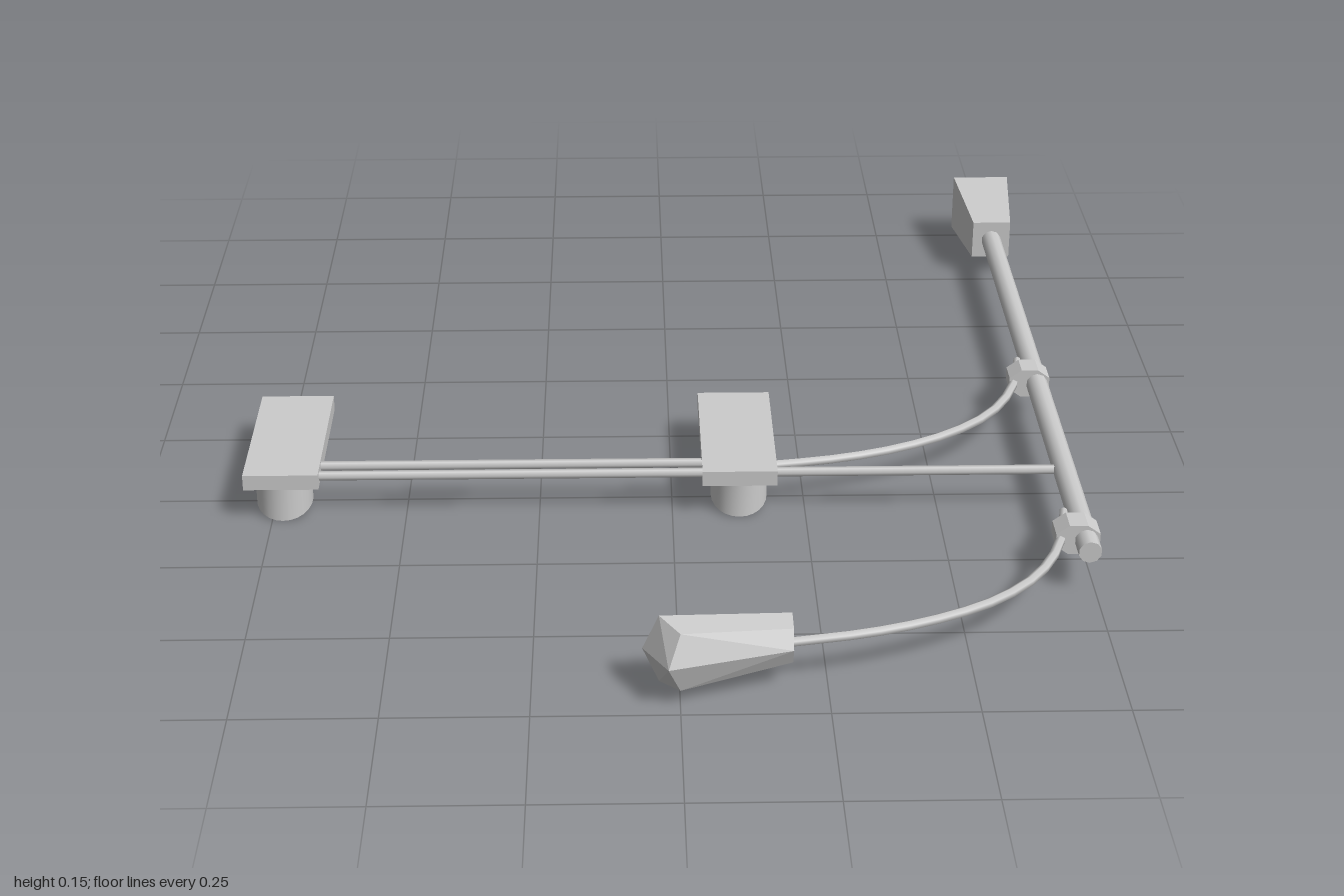
import * as THREE from 'three';
import { ConvexGeometry } from 'three/addons/geometries/ConvexGeometry.js';

const Y = 0.083; // height of the common axis
const POLE_X = 0.735;

const smooth = new THREE.MeshStandardMaterial({ color: 0xcccccc, side: THREE.DoubleSide });
const flat = new THREE.MeshStandardMaterial({ color: 0xcccccc, side: THREE.DoubleSide, flatShading: true });

function add(parent, name, geometry, material, x = 0, y = 0, z = 0) {
  const mesh = new THREE.Mesh(geometry, material);
  mesh.name = name;
  mesh.position.set(x, y, z);
  parent.add(mesh);
  return mesh;
}

// Curved bracket arm through [x, z] points at axis height
function bentArm(points) {
  const curve = new THREE.CatmullRomCurve3(points.map(([x, z]) => new THREE.Vector3(x, Y, z)));
  return new THREE.TubeGeometry(curve, 14, 0.009, 6, false);
}

// Straight horizontal arm between two x positions
function straightArm(parent, name, x0, x1, z) {
  const geometry = new THREE.CylinderGeometry(0.009, 0.009, x1 - x0, 6).rotateZ(Math.PI / 2);
  add(parent, name, geometry, smooth, (x0 + x1) / 2, Y, z);
}

// Hood around a lens: deepest on the +z side, cut back on the other
function hoodGeometry() {
  const r = 0.053, top = 0.068;
  const geometry = new THREE.CylinderGeometry(r, r, 1, 16, 1, true, -Math.PI * 2 / 3, Math.PI * 4 / 3);
  const p = geometry.attributes.position;
  for (let i = 0; i < p.count; i++) {
    const z = p.getZ(i);
    const low = z < -0.005 ? 0.057 : 0.02 * (1 - z / r);
    p.setY(i, p.getY(i) > 0 ? top : low);
  }
  geometry.computeVertexNormals();
  return geometry;
}

// Signal head: backing plate with three hooded lenses
function signalHead(x) {
  const head = new THREE.Group();
  head.name = 'signalHead';
  add(head, 'backPlate', new THREE.BoxGeometry(0.14, 0.03, 0.33), flat, 0, 0.081, 0.165);
  for (const z of [0.052, 0.165, 0.277]) {
    add(head, 'hood', hoodGeometry(), smooth, 0, 0, z);
    add(head, 'lens', new THREE.CylinderGeometry(0.05, 0.05, 0.008, 16), flat, 0, 0.063, z);
  }
  head.position.x = x;
  return head;
}

// Lamp housing: tapered faceted shell, mirrored about the axis height
function lampGeometry() {
  const half = [
    [-0.035, 0.064, 0.925], [0.0, 0.055, 0.97], [-0.02, 0, 0.995], [-0.063, 0, 0.923],
    [0.19, 0.037, 0.875], [0.19, 0.033, 0.92], [0.19, 0, 0.937],
  ];
  const points = [];
  for (const [x, dy, z] of half) {
    points.push(new THREE.Vector3(x, Y + dy, z));
    if (dy) points.push(new THREE.Vector3(x, Y - dy, z));
  }
  return new ConvexGeometry(points);
}

export function createModel() {
  const model = new THREE.Group();
  model.name = 'trafficLightPole';

  // Main pole, lying along z
  const pole = new THREE.CylinderGeometry(0.021, 0.021, 1.4, 10).rotateX(Math.PI / 2);
  add(model, 'pole', pole, smooth, POLE_X, Y, -0.08);

  // Square flared base, open underneath
  const base = new THREE.CylinderGeometry(0.041 * Math.SQRT2, 0.061 * Math.SQRT2, 0.22, 4, 1, true);
  base.rotateY(Math.PI / 4).rotateX(Math.PI / 2);
  add(model, 'base', base, flat, POLE_X, Y, -0.89);
  add(model, 'baseTop', new THREE.PlaneGeometry(0.082, 0.082), flat, POLE_X, Y, -0.78);

  // Clamps holding the curved arms
  for (const z of [-0.08, 0.55]) {
    const clamp = new THREE.CylinderGeometry(1, 1, 0.05, 8);
    clamp.rotateY(Math.PI / 8).rotateX(Math.PI / 2).scale(0.043, 0.031, 1);
    add(model, 'clamp', clamp, flat, 0.72, Y, z);
  }

  // Signal arms: one straight to the pole, one bending into the clamp
  straightArm(model, 'signalArm', -0.67, 0.73, 0.307);
  straightArm(model, 'upperBraceArm', -0.67, 0.13, 0.268);
  add(model, 'braceCurve', bentArm([
    [0.13, 0.29], [0.32, 0.255], [0.44, 0.213], [0.54, 0.155], [0.62, 0.08], [0.67, -0.005], [0.695, -0.08], [0.71, -0.16],
  ]), smooth);

  // Lamp arm and lamp
  add(model, 'lampArm', bentArm([
    [0.18, 0.91], [0.32, 0.882], [0.44, 0.84], [0.54, 0.785], [0.62, 0.71], [0.67, 0.625], [0.695, 0.55], [0.71, 0.47],
  ]), smooth);
  add(model, 'lampHousing', lampGeometry(), flat);

  for (const x of [-0.73, 0.126]) model.add(signalHead(x));

  return model;
}
